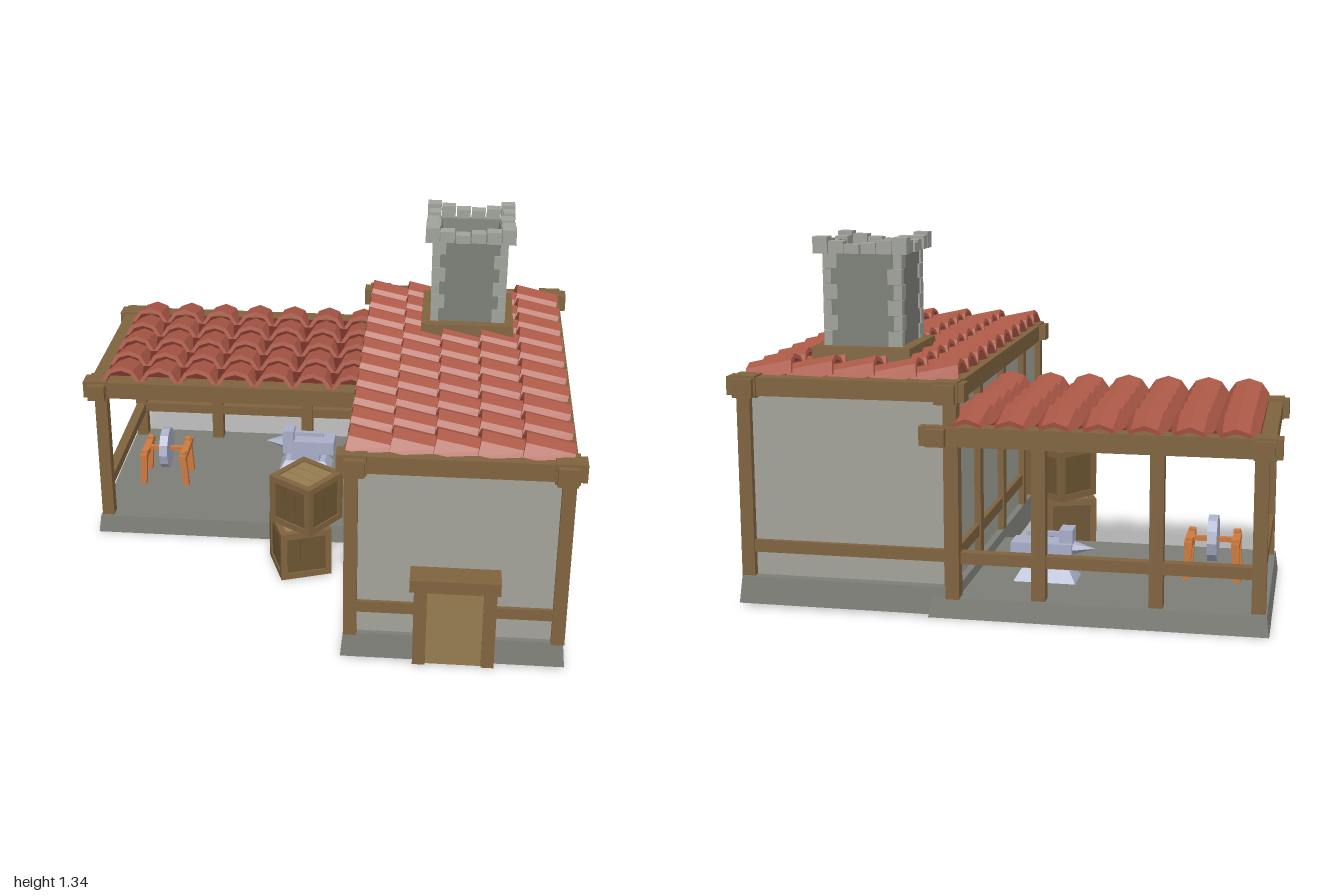
import * as THREE from 'three';

const mat = (color, extra = {}) => new THREE.MeshStandardMaterial({ color, flatShading: true, ...extra });
const M = {
  wood: mat(0x80633f), door: mat(0x967c50), plank: mat(0x6c5533), wall: mat(0xa3a39a),
  stone: mat(0x7d7e77), shaft: mat(0x7d7f78, { side: THREE.DoubleSide }), block: mat(0xa0a29b),
  tile: mat(0xab5846), deck: mat(0x6e3027), metal: mat(0xa9afc8), orange: mat(0xcd7a3e),
};

function add(parent, name, geo, material, x = 0, y = 0, z = 0) {
  const m = new THREE.Mesh(geo, material);
  m.name = name;
  m.position.set(x, y, z);
  parent.add(m);
  return m;
}

function group(parent, name, x = 0, y = 0, z = 0) {
  const g = new THREE.Group();
  g.name = name;
  g.position.set(x, y, z);
  parent.add(g);
  return g;
}

// Box given by its limits on each axis
const box = (p, name, m, x0, x1, y0, y1, z0, z1) =>
  add(p, name, new THREE.BoxGeometry(x1 - x0, y1 - y0, z1 - z0), m, (x0 + x1) / 2, (y0 + y1) / 2, (z0 + z1) / 2);

// Box whose top is drawn in by an inset
function slab(p, name, m, x0, x1, y0, y1, z0, z1, inset) {
  const mesh = box(p, name, m, x0, x1, y0, y1, z0, z1), a = mesh.geometry.attributes.position;
  for (let i = 0; i < a.count; i++) if (a.getY(i) > 0) {
    a.setX(i, a.getX(i) - Math.sign(a.getX(i)) * inset);
    a.setZ(i, a.getZ(i) - Math.sign(a.getZ(i)) * inset);
  }
  mesh.geometry.computeVertexNormals();
  return mesh;
}

// Arched roof tile lying along z, raised at its +z end
function tileGeometry(len) {
  const s = new THREE.Shape(), n = 4, pt = (i, w, h) => [-w * Math.cos(Math.PI * (0.08 + 0.84 * i / n)) / 0.969,
    h * (Math.sin(Math.PI * (0.08 + 0.84 * i / n)) - 0.249) / 0.751];
  s.moveTo(...pt(0, 0.08, 0.062));
  for (let i = 1; i <= n; i++) s.lineTo(...pt(i, 0.08, 0.062));
  for (let i = n; i >= 0; i--) s.lineTo(...pt(i, 0.063, 0.044));
  const g = new THREE.ExtrudeGeometry(s, { depth: len, bevelEnabled: false });
  g.translate(0, 0, -len / 2);
  // slightly narrower at the low end
  const a = g.attributes.position;
  for (let i = 0; i < a.count; i++) if (a.getZ(i) < 0) a.setX(i, a.getX(i) * 0.93);
  g.rotateX(-0.22);
  g.computeVertexNormals();
  return g;
}

function house(root) {
  const g = group(root, 'house');
  slab(g, 'houseFoundation', M.stone, 0.135, 0.97, 0.01, 0.11, -0.86, 0.815, 0.01);
  box(g, 'houseWalls', M.wall, 0.17, 0.945, 0.1, 0.84, -0.81, 0.785);
  box(g, 'roofDeck', M.deck, 0.16, 0.955, 0.8, 0.85, -0.82, 0.79);
  // posts and lower rails of the long sides
  for (const [x0, x1] of [[0.145, 0.195], [0.915, 0.965]]) {
    for (const z of [0.78, 0.405, -0.015, -0.435, -0.81]) box(g, 'housePost', M.wood, x0, x1, 0.1, 0.8, z - 0.026, z + 0.026);
    box(g, 'houseSideRail', M.wood, x0 + 0.006, x1 - 0.006, 0.2, 0.245, -0.8, 0.78);
  }
  for (const z of [0.78, -0.81]) box(g, 'houseEndRail', M.wood, 0.17, 0.94, 0.2, 0.245, z - 0.02, z + 0.02);
  // crossed top beams with protruding ends
  for (const z of [0.773, -0.805]) box(g, 'houseEndBeam', M.wood, 0.115, 1.0, 0.787, 0.855, z - 0.036, z + 0.036);
  for (const x of [0.182, 0.931]) {
    box(g, 'houseSideBeam', M.wood, x - 0.037, x + 0.037, 0.782, 0.851, -0.87, 0.84);
    for (const z of [0.773, -0.805]) box(g, 'houseBeamCap', M.wood, x - 0.044, x + 0.044, 0.78, 0.861, z - 0.044, z + 0.044);
  }
  // doorway
  box(g, 'door', M.door, 0.45, 0.665, 0.01, 0.36, 0.76, 0.835);
  for (const x of [0.43, 0.685]) box(g, 'doorJamb', M.wood, x - 0.024, x + 0.024, 0.01, 0.36, 0.76, 0.845);
  box(g, 'doorLintel', M.wood, 0.39, 0.72, 0.35, 0.4, 0.76, 0.885);
  // tiles
  const roof = group(g, 'houseRoofTiles'), geo = tileGeometry(0.18);
  for (let r = 0; r < 10; r++) for (let c = 0; c < 5; c++)
    add(roof, 'houseTile', geo, M.tile, 0.235 + c * 0.156, 0.846, 0.705 - r * 0.157).rotation.y = -Math.PI / 2;
}

function shed(root) {
  const g = group(root, 'openShed');
  slab(g, 'shedFloor', M.stone, -0.97, 0.25, 0, 0.075, -0.865, -0.015, 0.01);
  for (const [x, z] of [[-0.93, -0.06], [-0.93, -0.815], [-0.57, -0.815], [-0.15, -0.815], [0.16, -0.835]])
    box(g, 'shedPost', M.wood, x - 0.025, x + 0.025, 0.07, 0.64, z - 0.025, z + 0.025);
  box(g, 'shedBackRail', M.wood, -0.93, 0.16, 0.197, 0.24, -0.835, -0.795);
  box(g, 'shedSideRail', M.wood, -0.95, -0.91, 0.197, 0.24, -0.815, -0.06);
  // crossed top beams
  for (const z of [-0.07, -0.817]) box(g, 'shedLongBeam', M.wood, -1, z < -0.5 ? 0.28 : 0.17, 0.63, 0.7, z - 0.037, z + 0.037);
  for (const x of [-0.94, 0.215]) box(g, 'shedCrossBeam', M.wood, x - 0.035, x + 0.035, 0.633, 0.696, -0.885, x < 0 ? 0.005 : -0.7);
  for (const z of [-0.07, -0.817]) box(g, 'shedBeamCap', M.wood, -0.98, -0.9, 0.626, 0.705, z - 0.042, z + 0.042);
  box(g, 'shedRoofDeck', M.deck, -0.92, 0.17, 0.685, 0.698, -0.845, -0.04);
  const roof = group(g, 'shedRoofTiles'), geo = tileGeometry(0.185);
  for (let r = 0; r < 7; r++) for (let c = 0; c < 5; c++)
    add(roof, 'shedTile', geo, M.tile, -0.84 + r * 0.158, 0.692, -0.12 - c * 0.157);
}

function chimney(root) {
  const g = group(root, 'chimney', 0.568, 0, -0.405), q = Math.SQRT2;
  slab(g, 'chimneyCurb', M.wood, -0.193, 0.193, 0.84, 0.935, -0.193, 0.193, 0.006);
  // hollow square shaft
  const profile = [[0.145, 0.92], [0.145, 1.285], [0.12, 1.285], [0.09, 1.05], [0, 1.05]].map(([r, y]) => new THREE.Vector2(r * q, y));
  add(g, 'chimneyShaft', new THREE.LatheGeometry(profile, 4, Math.PI / 4).toNonIndexed(), M.shaft).geometry.computeVertexNormals();
  for (const sx of [-1, 1]) for (const sz of [-1, 1]) {
    // alternating corner stones
    for (let i = 0; i < 6; i++) {
      const long = (i + (sx * sz > 0 ? 1 : 0)) % 2, a = long ? 0.055 : 0.032, b = long ? 0.032 : 0.055, o = 0.152;
      add(g, 'cornerStone', new THREE.BoxGeometry(a, 0.056, b), M.block, sx * (o - a / 2), 0.964 + i * 0.058, sz * (o - b / 2));
    }
    add(g, 'crownCorner', new THREE.BoxGeometry(0.056, 0.062, 0.056), M.block, sx * 0.152, 1.313, sz * 0.152);
  }
  // crown stones of uneven height on all four sides
  const heights = [0.045, 0.034, 0.04, 0.05];
  for (let s = 0; s < 4; s++) {
    const side = group(g, 'crownSide');
    side.rotation.y = s * Math.PI / 2;
    heights.forEach((h, i) => add(side, 'crownStone', new THREE.BoxGeometry(0.057, h, 0.05), M.block,
      -0.093 + i * 0.062, 1.283 + h / 2, 0.148 + (i % 2) * 0.007));
  }
}

function crate(root, x, y, z, turn) {
  const g = group(root, 'crate', x, y, z), h = 0.105, t = 0.013;
  g.rotation.y = turn;
  add(g, 'crateCore', new THREE.BoxGeometry(0.188, 0.188, 0.188), M.plank);
  // frame along all twelve edges
  for (const a of [-1, 1]) for (const b of [-1, 1]) {
    const u = a * (h - t), v = b * (h - t);
    add(g, 'crateEdge', new THREE.BoxGeometry(2 * h, 2 * t, 2 * t), M.wood, 0, u, v);
    add(g, 'crateEdge', new THREE.BoxGeometry(2 * t, 2 * h, 2 * t), M.wood, u, 0, v);
    add(g, 'crateEdge', new THREE.BoxGeometry(2 * t, 2 * t, 2 * h), M.wood, u, v, 0);
  }
  // planks on the sides and lid
  for (let i = -1; i <= 1; i++) {
    add(g, 'cratePlankZ', new THREE.BoxGeometry(0.048, 0.16, 0.198), M.plank, i * 0.053, 0, 0);
    add(g, 'cratePlankX', new THREE.BoxGeometry(0.198, 0.16, 0.048), M.plank, 0, 0, i * 0.053);
    add(g, 'crateLidPlank', new THREE.BoxGeometry(0.16, 0.2, 0.05), M.door, 0, 0, i * 0.053);
  }
}

function grindstone(root) {
  const g = group(root, 'grindstone', -0.738, 0, -0.4);
  add(g, 'wheel', new THREE.CylinderGeometry(0.09, 0.09, 0.036, 12).rotateZ(Math.PI / 2), M.metal, 0, 0.22, 0);
  add(g, 'axle', new THREE.BoxGeometry(0.2, 0.018, 0.018), M.orange, 0, 0.217, 0);
  for (const s of [-1, 1]) {
    for (const e of [-1, 1]) {
      const leg = add(g, 'standLeg', new THREE.BoxGeometry(0.026, 0.165, 0.026), M.orange, s * 0.09, 0.155, e * 0.07);
      leg.rotation.z = s * 0.07;
    }
    add(g, 'standRail', new THREE.BoxGeometry(0.03, 0.026, 0.2), M.orange, s * 0.087, 0.213, 0);
  }
}

function anvil(root) {
  const g = group(root, 'anvil', -0.13, 0, -0.55);
  slab(g, 'anvilFoot', M.metal, -0.12, 0.12, 0.07, 0.12, -0.07, 0.07, 0.03);
  box(g, 'anvilWaist', M.metal, -0.065, 0.065, 0.11, 0.17, -0.035, 0.035);
  box(g, 'anvilBody', M.metal, -0.1, 0.13, 0.16, 0.22, -0.05, 0.05);
  const horn = add(g, 'anvilHorn', new THREE.ConeGeometry(0.048, 0.09, 6).rotateZ(Math.PI / 2), M.metal, -0.135, 0.197, 0);
  horn.scale.y = 0.55;
  box(g, 'hammerHead', M.metal, -0.1, -0.05, 0.22, 0.27, -0.03, 0.05);
  box(g, 'hammerHandle', M.metal, -0.05, 0.08, 0.235, 0.253, 0, 0.02);
}

export function createModel() {
  const root = new THREE.Group();
  root.name = 'smithy';
  house(root);
  shed(root);
  chimney(root);
  crate(root, -0.08, 0.113, 0.18, 0.35);
  crate(root, -0.055, 0.323, 0.17, -0.61);
  grindstone(root);
  anvil(root);
  return root;
}
